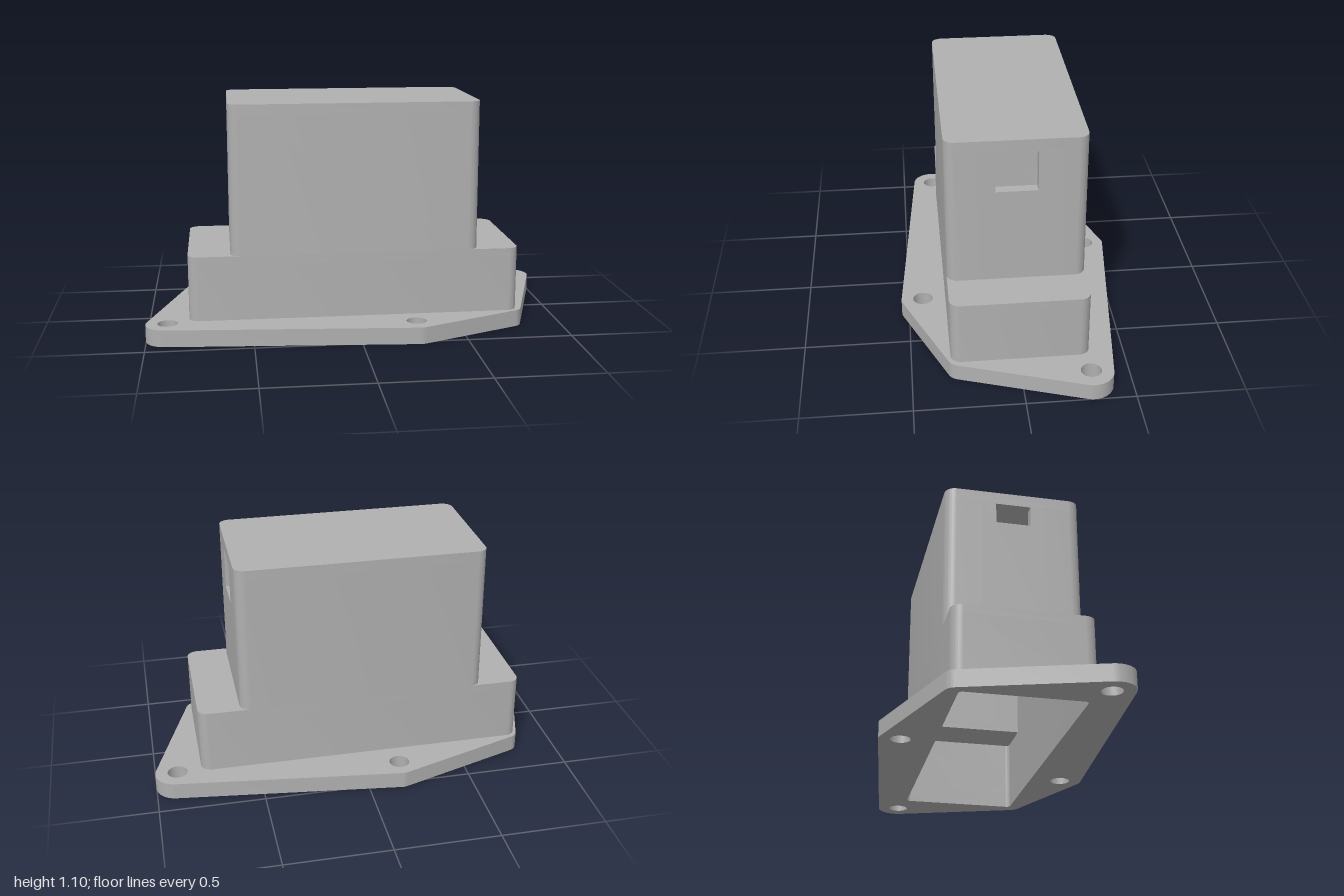
import * as THREE from 'three';
import { toCreasedNormals } from 'three/addons/utils/BufferGeometryUtils.js';

// Trace a counter-clockwise polygon of [x, y, radius] corners, rounding the convex ones.
function roundedPath(points, path = new THREE.Shape()) {
  const n = points.length;
  points.forEach(([x, y, r = 0], i) => {
    const [px, py] = points[(i + n - 1) % n];
    const [qx, qy] = points[(i + 1) % n];
    const a = new THREE.Vector2(x - px, y - py).normalize();
    const b = new THREE.Vector2(qx - x, qy - y).normalize();
    if (!r) {
      if (i) path.lineTo(x, y); else path.moveTo(x, y);
      return;
    }
    const t = r * Math.tan(Math.acos(a.dot(b)) / 2);
    const sx = x - a.x * t, sy = y - a.y * t;
    if (i) path.lineTo(sx, sy); else path.moveTo(sx, sy);
    path.absarc(sx - a.y * r, sy + a.x * r, r,
      a.angle() - Math.PI / 2, b.angle() - Math.PI / 2, false);
  });
  path.closePath();
  return path;
}

const rect = (x0, x1, h, r) => [[x1, -h, r], [x1, h, r], [x0, h, r], [x0, -h, r]];

export function createModel() {
  const group = new THREE.Group();
  const grey = new THREE.MeshStandardMaterial({ color: 0xb0b0b0 });
  grey.name = 'light grey';

  const add = (name, geometry) => {
    const mesh = new THREE.Mesh(toCreasedNormals(geometry, 0.5), grey);
    mesh.name = name;
    group.add(mesh);
    return mesh;
  };
  const extrude = (shape, depth) =>
    new THREE.ExtrudeGeometry(shape, { depth, bevelEnabled: false, curveSegments: 10 });

  // Plan shapes (x, -z) raised from y0 to y1
  const slab = (name, points, y0, y1, holes = []) => {
    const shape = roundedPath(points);
    shape.holes.push(...holes);
    return add(name, extrude(shape, y1 - y0).rotateX(-Math.PI / 2).translate(0, y0, 0));
  };
  const opening = (...args) => roundedPath(rect(...args), new THREE.Path());
  const cavity = () => opening(-0.77, 0.75, 0.28, 0.02);

  // Mounting flange with four screw holes
  const screwHoles = [[0.895, 0.307], [-0.165, 0.44], [-0.9, -0.337], [0.265, -0.43]]
    .map(([x, y]) => new THREE.Path().absarc(x, y, 0.048, 0, Math.PI * 2, true));
  slab('mountingFlange', [
    [1.035, 0.394, 0.1], [-0.17, 0.542, 0.06], [-0.8, 0.33, 0.06],
    [-1.035, -0.43, 0.1], [0.28, -0.537, 0.06], [0.795, -0.32, 0.06],
  ], 0, 0.08, [cavity(), ...screwHoles]);

  // Wide lower housing and the shoulders on top of it
  const base = rect(-0.8, 0.78, 0.32, 0.05);
  slab('lowerHousing', base, 0.08, 0.35, [cavity()]);
  slab('shoulder', base, 0.35, 0.39, [opening(-0.55, 0.53, 0.28, 0)]);

  // Tower: two long channel-shaped sides
  const channel = [
    [0.58, 0.15], [0.58, 0.32, 0.05], [-0.6, 0.32, 0.05], [-0.6, 0.15],
    [-0.55, 0.15], [-0.55, 0.28], [0.53, 0.28], [0.53, 0.15],
  ];
  slab('towerBackSide', channel, 0.39, 1.05);
  slab('towerFrontSide', channel.map(([x, y, r]) => [x, -y, r]).reverse(), 0.39, 1.05);

  // Tower end walls, each with a window of its own size
  const endWall = (name, x, halfWidth, sill) => {
    const shape = roundedPath([[-0.15, 0.39], [0.15, 0.39], [0.15, 1.05], [-0.15, 1.05]]);
    shape.holes.push(roundedPath([
      [-halfWidth, sill], [halfWidth, sill], [halfWidth, 1.04], [-halfWidth, 1.04],
    ], new THREE.Path()));
    add(name, extrude(shape, 0.05).rotateY(Math.PI / 2).translate(x, 0, 0));
  };
  endWall('leftEndWall', 0.53, 0.095, 0.847);
  endWall('rightEndWall', -0.6, 0.082, 0.94);

  // Roof
  slab('roof', rect(-0.6, 0.58, 0.32, 0.05), 1.05, 1.1);

  return group;
}
